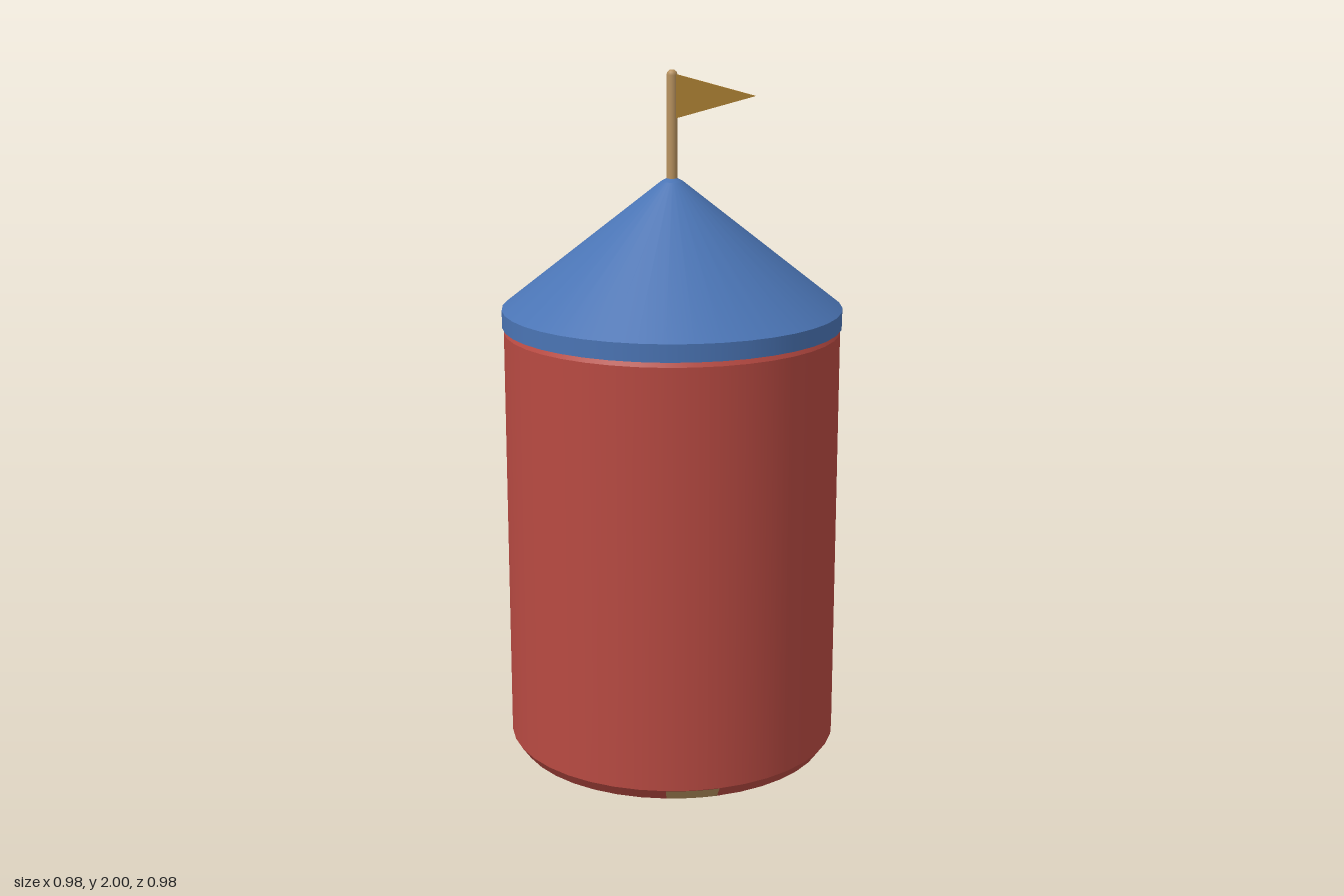
import * as THREE from 'three';

const SIDES = 40;
const material = (name, color, side = THREE.FrontSide) => {
  const m = new THREE.MeshStandardMaterial({ color, side });
  m.name = name;
  return m;
};

export function createModel() {
  const red = material('red', 0xb84a42);
  const blue = material('blue', 0x4a74b4);
  const tan = material('tan', 0xb8925f);
  const gold = material('gold', 0xa87c30);
  const model = new THREE.Group();
  model.name = 'tentTower';

  const add = (parent, name, geometry, mat, y = 0) => {
    const mesh = new THREE.Mesh(geometry, mat);
    mesh.name = name;
    mesh.position.y = y;
    parent.add(mesh);
    return mesh;
  };
  const group = (name) => {
    const g = new THREE.Group();
    g.name = name;
    model.add(g);
    return g;
  };
  // Open ring between two heights, so every band keeps its sharp edge
  const band = (parent, name, r0, y0, r1, y1, mat, start = 0, length = Math.PI * 2, sides = SIDES) =>
    add(parent, name, new THREE.CylinderGeometry(r1, r0, y1 - y0, sides, 1, true, start, length), mat, (y0 + y1) / 2);
  const disc = (parent, name, r, y, up, mat) => {
    const mesh = add(parent, name, new THREE.CircleGeometry(r, SIDES), mat, y);
    mesh.rotation.x = up ? -Math.PI / 2 : Math.PI / 2;
  };

  // Body with a bevelled foot and shoulder
  const body = group('body');
  disc(body, 'base', 0.46, 0, false, red);
  band(body, 'footBevel', 0.46, 0, 0.485, 0.035, red);
  band(body, 'wall', 0.485, 0.035, 0.485, 1.26, red);
  band(body, 'shoulderBevel', 0.485, 1.26, 0.475, 1.28, red);

  // Tan patches on the foot bevel: start and sweep in degrees from the front
  const patches = group('footPatches');
  for (const [start, sweep] of [[0, 18], [151, 27], [270, 26]]) {
    band(patches, 'footPatch', 0.462, 0.001, 0.487, 0.035, tan,
      THREE.MathUtils.degToRad(start), THREE.MathUtils.degToRad(sweep), 4);
  }

  // Conical roof with a short rim
  const roof = group('roof');
  disc(roof, 'roofUnderside', 0.49, 1.275, false, blue);
  band(roof, 'roofRim', 0.49, 1.275, 0.49, 1.325, blue);
  band(roof, 'roofCone', 0.49, 1.325, 0.032, 1.687, blue);
  band(roof, 'roofTip', 0.032, 1.687, 0.014, 1.697, blue);

  // Pole with a rounded end
  const pole = [[0.016, 1.66], [0.016, 1.985], [0.013, 1.994], [0.007, 1.999], [0, 2]];
  add(model, 'flagPole', new THREE.LatheGeometry(pole.map(([x, y]) => new THREE.Vector2(x, y)), 16), tan);

  // Pennant flying to the left
  const pennant = new THREE.Shape();
  pennant.moveTo(0.01, 1.865);
  pennant.lineTo(0.234, 1.928);
  pennant.lineTo(0.01, 1.988);
  pennant.closePath();
  add(model, 'pennant', new THREE.ExtrudeGeometry(pennant, { depth: 0.011, bevelEnabled: false }), gold);

  return model;
}
